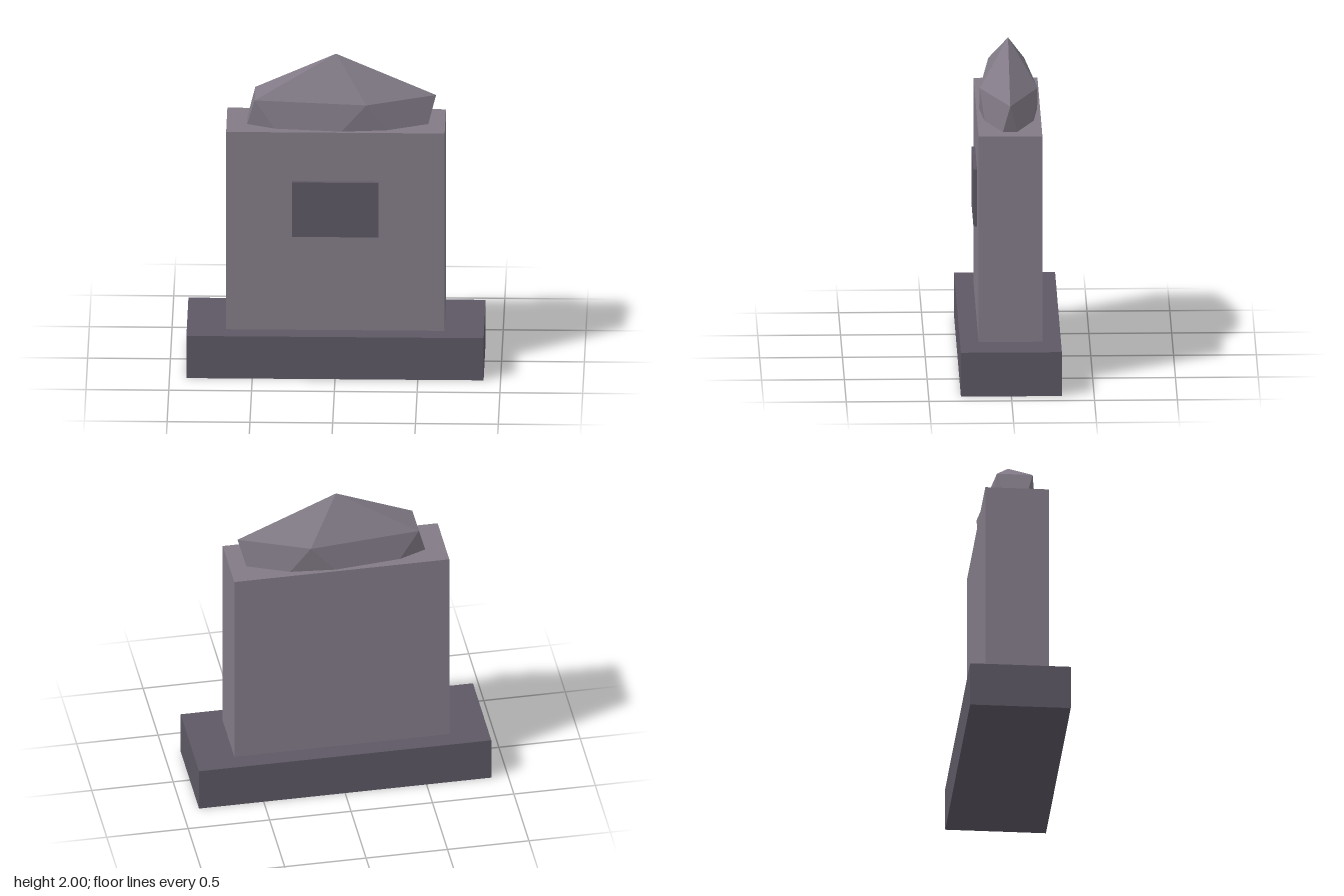
import * as THREE from 'three';

export function createModel() {
  const model = new THREE.Group();
  model.name = 'monument';

  const paleStone = new THREE.MeshStandardMaterial({ color: 0x827b87 });
  paleStone.name = 'pale stone';
  const darkStone = new THREE.MeshStandardMaterial({ color: 0x5d5864 });
  darkStone.name = 'dark stone';

  function add(name, geometry, material, y, z = 0) {
    const mesh = new THREE.Mesh(geometry, material);
    mesh.name = name;
    mesh.position.set(0, y, z);
    model.add(mesh);
  }

  // Plinth and upright slab
  add('base', new THREE.BoxGeometry(1.795, 0.275, 0.61), darkStone, 0.1375);
  add('slab', new THREE.BoxGeometry(1.32, 1.288, 0.386), paleStone, 0.919);

  // Blank plaque set into the front face
  add('plaque', new THREE.BoxGeometry(0.524, 0.355, 0.05), darkStone, 1.0675, 0.19);

  // Faceted capstone: an icosahedron turned point up, flattened, half sunk in the slab
  const cap = new THREE.IcosahedronGeometry(1, 0);
  cap.rotateZ(-Math.atan2(2, 1 + Math.sqrt(5)));
  cap.scale(0.676, 0.479, 0.206);
  cap.computeVertexNormals();
  add('capstone', cap, paleStone, 1.521);

  return model;
}
